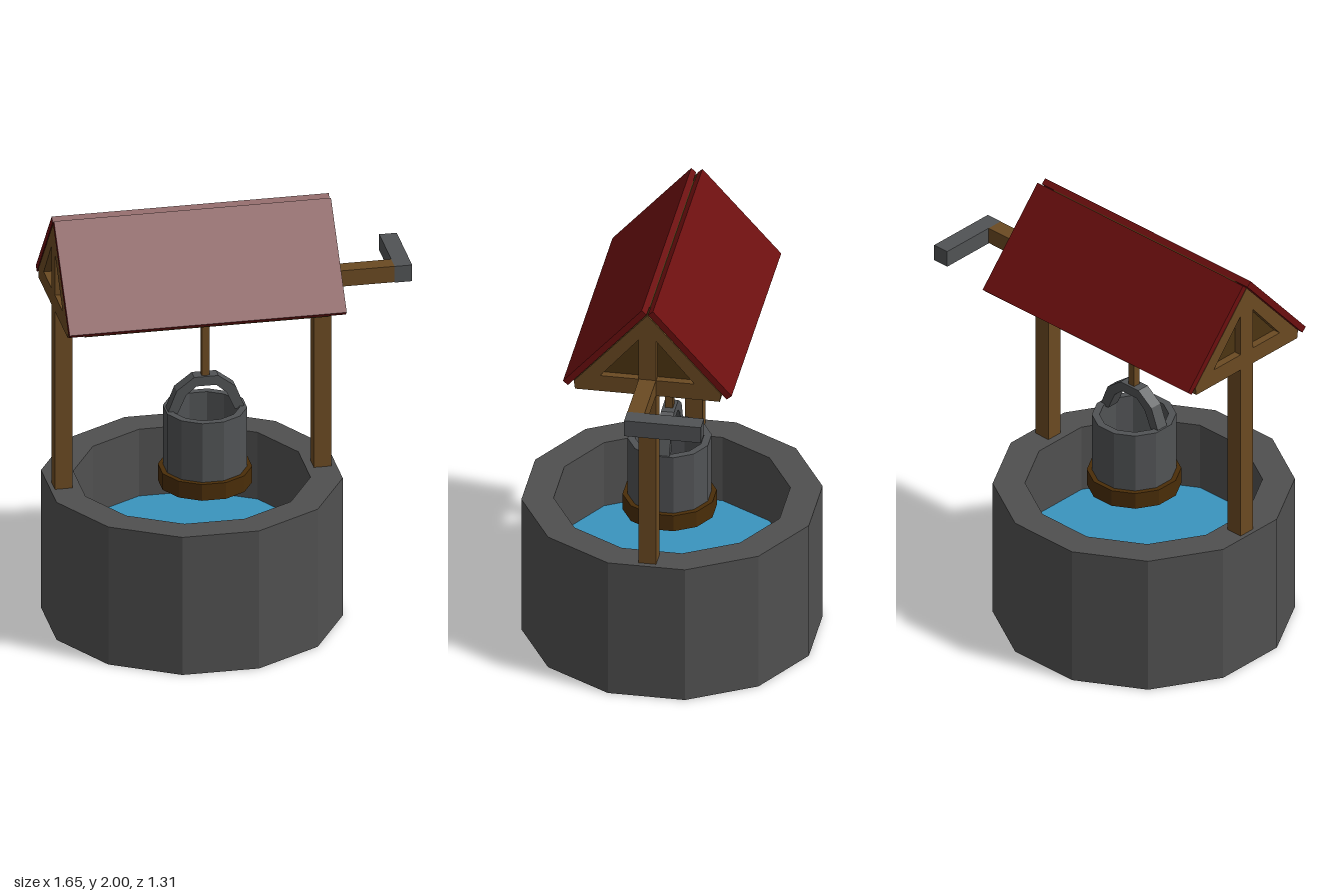
import * as THREE from 'three';

const mat = (name, color) => {
  const m = new THREE.MeshStandardMaterial({ color });
  m.name = name;
  return m;
};

export function createModel() {
  const group = new THREE.Group();
  const stone = mat('stone', 0x505050);
  const iron = mat('iron', 0x515355);
  const wood = mat('wood', 0x6b4a22);
  const darkWood = mat('dark wood', 0x4c3412);
  const bandWood = mat('bucket band wood', 0x4a2d08);
  const red = mat('red roof', 0x6c0e0e);
  const blue = mat('water', 0x3a94be);

  const add = (name, geometry, material, x = 0, y = 0, z = 0) => {
    const mesh = new THREE.Mesh(geometry, material);
    mesh.name = name;
    mesh.position.set(x, y, z);
    group.add(mesh);
    return mesh;
  };
  // Box given by its limits on each axis
  const box = (name, material, [x0, x1], [y0, y1], [z0, z1]) =>
    add(name, new THREE.BoxGeometry(x1 - x0, y1 - y0, z1 - z0), material,
      (x0 + x1) / 2, (y0 + y1) / 2, (z0 + z1) / 2);
  // Faceted twelve-sided turning; profile radii are measured to the flats
  const turned = (profile) => {
    const pts = profile.map(([r, y]) => new THREE.Vector2(r / Math.cos(Math.PI / 12), y));
    const g = new THREE.LatheGeometry(pts, 12, Math.PI / 12).toNonIndexed();
    g.computeVertexNormals();
    return g;
  };
  const polygon = (Type, pts) => new Type(pts.map(([x, y]) => new THREE.Vector2(x, y)));

  // Stone well with water inside
  const wellX = -0.175;
  add('wellWall', turned([[0, 0], [0.655, 0], [0.655, 0.68], [0.515, 0.68], [0.515, 0.3], [0, 0.3]]), stone, wellX);
  const water = new THREE.CircleGeometry(0.533, 12, Math.PI / 12);
  water.rotateX(-Math.PI / 2);
  add('water', water, blue, wellX, 0.35);

  // Posts and open gable frames, with a dark panel inside each gable
  const outline = [[-0.33, 1.56], [0.33, 1.56], [0.335, 1.6], [0, 1.975], [-0.335, 1.6]];
  for (const [side, x] of [['right', -0.77], ['left', 0.415]]) {
    box(side + 'Post', wood, [x - 0.04, x + 0.04], [0.68, 1.57], [-0.04, 0.04]);
    const shape = polygon(THREE.Shape, outline);
    for (const s of [-1, 1])
      shape.holes.push(polygon(THREE.Path, [[s * 0.04, 1.64], [s * 0.04, 1.845], [s * 0.215, 1.64]]));
    const frame = new THREE.ExtrudeGeometry(shape, { depth: 0.08, bevelEnabled: false });
    frame.translate(0, 0, -0.04).rotateY(Math.PI / 2);
    add(side + 'Gable', frame, wood, x);
    const panel = polygon(THREE.Shape, [[-0.23, 1.63], [0.23, 1.63], [0, 1.89]]);
    const panelGeo = new THREE.ExtrudeGeometry(panel, { depth: 0.008, bevelEnabled: false });
    panelGeo.translate(0, 0, -0.004).rotateY(Math.PI / 2);
    add(side + 'GablePanel', panelGeo, darkWood, x);
  }

  // Two roof slopes, each a red board over a wooden lining
  const tilt = Math.atan2(0.405, 0.36);
  const slope = (name, material, s, length, depth, thickness) => {
    const m = add(name, new THREE.BoxGeometry(length, thickness, 0.54), material, -0.1775,
      1.7975 - depth * Math.cos(tilt), s * (0.205 - depth * Math.sin(tilt)));
    m.rotation.x = s * tilt;
  };
  for (const [side, s] of [['front', 1], ['back', -1]]) {
    slope(side + 'Roof', red, s, 1.268, 0.015, 0.03);
    slope(side + 'RoofLining', darkWood, s, 1.12, 0.037, 0.014);
  }

  // Windlass and crank
  box('axle', wood, [-0.80, 0.745], [1.562, 1.64], [-0.039, 0.039]);
  box('drum', wood, [-0.46, 0.21], [1.545, 1.655], [-0.06, 0.06]);
  box('crank', iron, [0.745, 0.825], [1.56, 1.64], [-0.31, 0.04]);

  // Hanging bucket
  const bucketX = -0.115;
  box('rope', wood, [bucketX - 0.018, bucketX + 0.018], [1.15, 1.56], [-0.018, 0.018]);
  add('bucket', turned([[0, 0.66], [0.183, 0.66], [0.183, 1.01], [0.15, 1.01], [0.15, 0.72], [0, 0.72]]), iron, bucketX);
  add('bucketBand', turned([[0, 0.64], [0.205, 0.64], [0.205, 0.72], [0.17, 0.72]]), bandWood, bucketX);
  const arch = [[0.178, 1.0], [0.135, 1.11], [0.055, 1.17]];
  const inner = [[0.045, 1.125], [0.092, 1.085], [0.13, 1.0]];
  const flip = (pts) => pts.map(([x, y]) => [-x, y]).reverse();
  const handle = new THREE.ExtrudeGeometry(
    polygon(THREE.Shape, [...arch, ...flip(arch), ...flip(inner), ...inner]),
    { depth: 0.06, bevelEnabled: false });
  handle.translate(0, 0, -0.03);
  add('bucketHandle', handle, iron, bucketX);

  return group;
}
